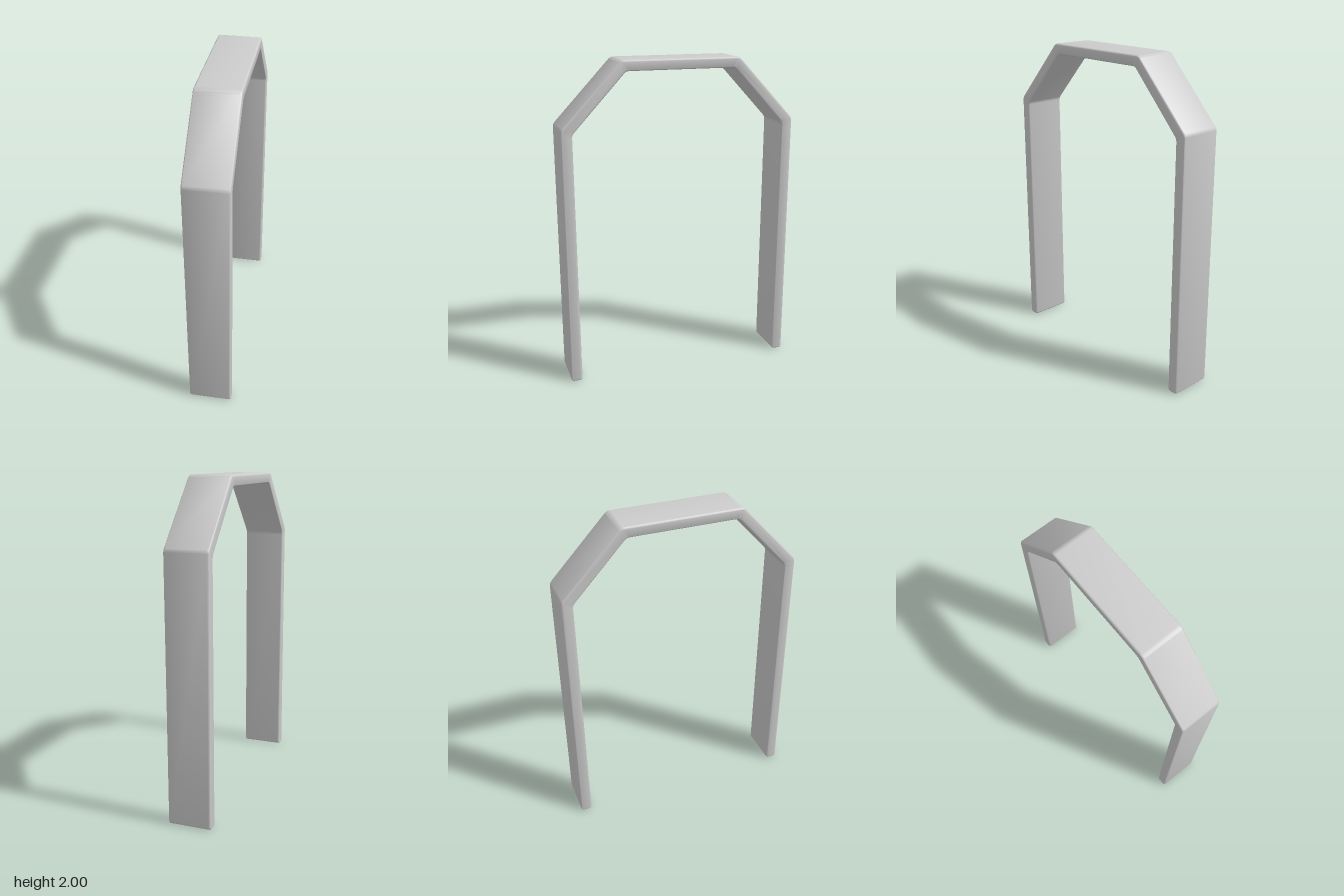
import * as THREE from 'three';
import { toCreasedNormals } from 'three/addons/utils/BufferGeometryUtils.js';

// Closed outline through the given corners, each one slightly rounded
function roundedOutline(corners, cut) {
  const pts = corners.map(([x, y]) => new THREE.Vector2(x, y));
  const shape = new THREE.Shape();
  pts.forEach((p, i) => {
    const prev = pts[(i + pts.length - 1) % pts.length];
    const next = pts[(i + 1) % pts.length];
    const a = prev.clone().sub(p).setLength(cut).add(p);
    const b = next.clone().sub(p).setLength(cut).add(p);
    if (i === 0) shape.moveTo(a.x, a.y);
    else shape.lineTo(a.x, a.y);
    shape.quadraticCurveTo(p.x, p.y, b.x, b.y);
  });
  shape.closePath();
  return shape;
}

export function createModel() {
  const group = new THREE.Group();
  group.name = 'archFrame';

  const width = 0.266, bevel = 0.012;

  // Half of the band: outer edge from foot to top, then inner edge from top to foot
  const outer = [[0.736, 0], [0.736, 1.612], [0.37, 2]];
  const inner = [[0.338, 1.935], [0.667, 1.582], [0.665, 0]];
  const mirror = (list) => list.map(([z, y]) => [-z, y]).reverse();
  const corners = [...outer, ...mirror(outer), ...mirror(inner), ...inner];

  // Flat band bent into two legs, two slopes and a level top
  const geometry = new THREE.ExtrudeGeometry(roundedOutline(corners, 0.02), {
    depth: width - 2 * bevel,
    curveSegments: 5,
    bevelEnabled: true,
    bevelThickness: bevel,
    bevelSize: bevel,
    bevelOffset: -bevel,
    bevelSegments: 4,
  });
  geometry.translate(0, 0, bevel - width / 2);
  geometry.rotateY(Math.PI / 2);

  const band = new THREE.Mesh(
    toCreasedNormals(geometry, 0.6),
    new THREE.MeshStandardMaterial({ color: 0xcccccc })
  );
  band.name = 'archBand';
  group.add(band);
  return group;
}
